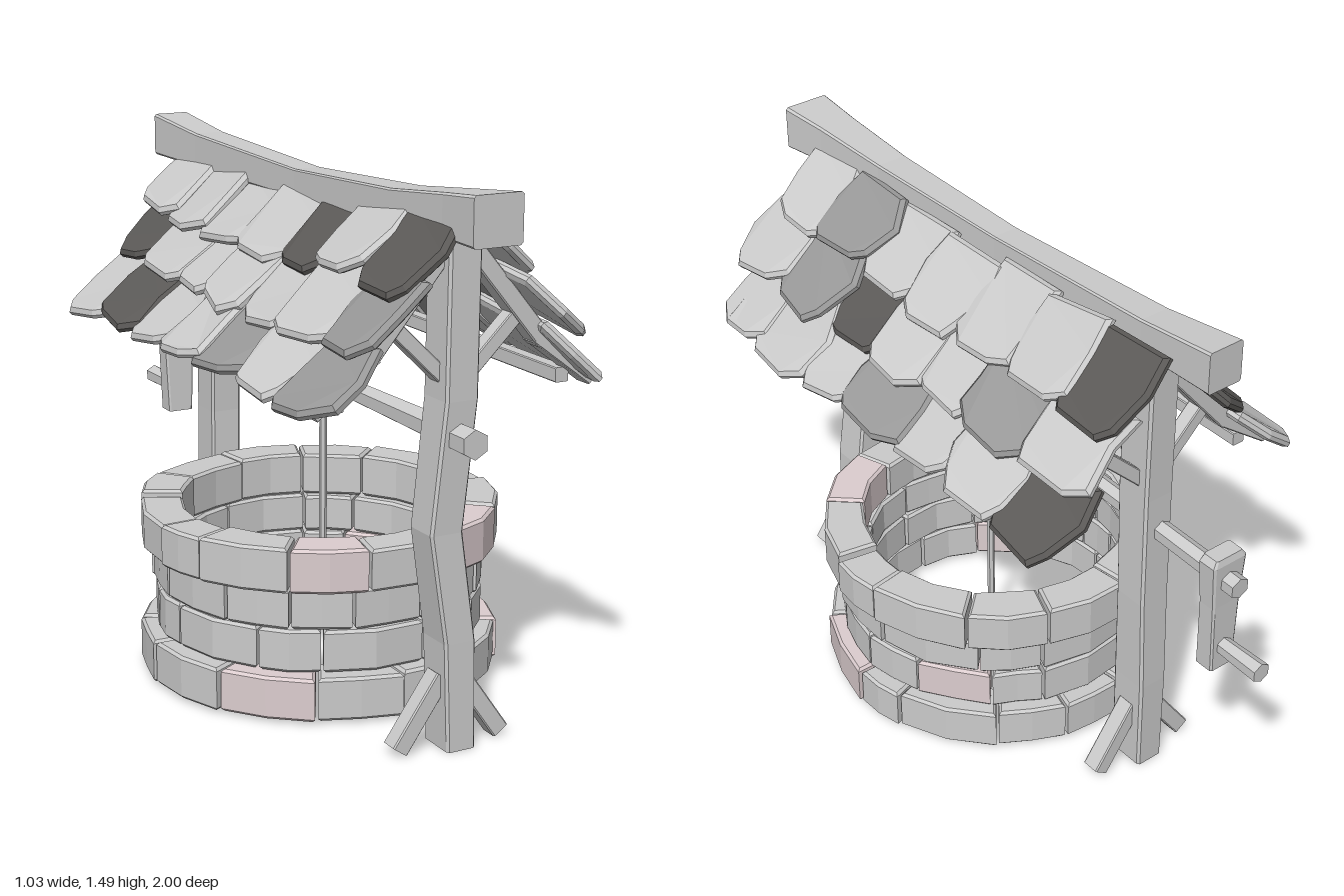
import * as THREE from 'three';

const mat = (color) => new THREE.MeshStandardMaterial({ color, flatShading: true });
const grey = mat(0xcccccc), pink = mat(0xdccdcf), mid = mat(0x999999), dark = mat(0x5c5a58);
const V = (x, y, z) => new THREE.Vector3(x, y, z);

// Small seeded generator; jit(a) gives a value in -a..a
let seed = 7;
const rnd = () => (seed = (seed * 16807) % 2147483647) / 2147483647;
const jit = (a) => (rnd() * 2 - 1) * a;

function add(parent, name, geometry, material = grey) {
  const mesh = new THREE.Mesh(geometry, material);
  mesh.name = name;
  parent.add(mesh);
  return mesh;
}

// Chamfered rectangular timber along y; stations are [t, centreX, centreZ, halfX, halfZ]
function timber(stations, chamfer = 0.14) {
  const n = stations.length - 1;
  const g = new THREE.CylinderGeometry(1, 1, 1, 8, n, false, Math.PI / 8);
  const p = g.attributes.position;
  const square = (c) => Math.sign(c) * (Math.abs(c) < 0.01 ? 0 : Math.abs(c) > 0.5 ? 1 : 1 - chamfer);
  for (let i = 0; i < p.count; i++) {
    const [t, cx, cz, hx, hz] = stations[Math.round((p.getY(i) + 0.5) * n)];
    p.setXYZ(i, cx + square(p.getX(i)) * hx, t, cz + square(p.getZ(i)) * hz);
  }
  g.computeVertexNormals();
  return g;
}

// Places a y-aligned mesh of the right length between two points
function span(mesh, a, b) {
  mesh.position.copy(a).add(b).multiplyScalar(0.5);
  mesh.quaternion.setFromUnitVectors(V(0, 1, 0), b.clone().sub(a).normalize());
  return mesh;
}
function strut(parent, name, a, b, w, d) {
  const h = a.distanceTo(b) / 2;
  return span(add(parent, name, timber([[-h, 0, 0, w / 2, d / 2], [h, 0, 0, w / 2, d / 2]])), a, b);
}
function rod(parent, name, a, b, ra, rb, sides = 6) {
  return span(add(parent, name, new THREE.CylinderGeometry(rb, ra, a.distanceTo(b), sides)), a, b);
}

// One curved wall stone between two angles
function stone(a0, a1, rIn, rOut, height) {
  const pts = [], steps = 2, gap = 0.008;
  const at = (r, k) => {
    const a = a0 + gap + ((a1 - a0 - gap * 2) * k) / steps;
    return new THREE.Vector2(Math.cos(a) * r, Math.sin(a) * r);
  };
  for (let k = 0; k <= steps; k++) pts.push(at(rOut + jit(0.007), k));
  for (let k = steps; k >= 0; k--) pts.push(at(rIn + jit(0.006), k));
  const bevel = 0.008;
  const g = new THREE.ExtrudeGeometry(new THREE.Shape(pts), {
    depth: height - bevel * 2, bevelSize: bevel, bevelOffset: -bevel, bevelThickness: bevel, bevelSegments: 1,
  });
  return g.translate(0, 0, bevel).rotateX(-Math.PI / 2);
}

function wellWall() {
  const wall = new THREE.Group();
  wall.name = 'stoneWall';
  wall.position.z = 0.115;
  const tiers = [[0.01, 0.123, 0.395, 0.512], [0.136, 0.12, 0.39, 0.475], [0.259, 0.112, 0.39, 0.475], [0.373, 0.121, 0.395, 0.512]];
  tiers.forEach(([y, h, rIn, rOut], t) => {
    const widths = Array.from({ length: 13 }, () => 0.7 + rnd() * 0.7);
    const total = widths.reduce((s, w) => s + w, 0);
    let a = t * 0.4;
    widths.forEach((w) => {
      const next = a + (w / total) * Math.PI * 2;
      const height = h + (t === 3 ? jit(0.01) : jit(0.003));
      add(wall, 'stone', stone(a, next, rIn, rOut, height), rnd() < 0.12 ? pink : grey).position.y = y;
      a = next;
    });
  });
  return wall;
}

// Irregular slate, slightly domed: x runs down the slope, y across, z outward
function slate(len, w) {
  const outline = [[0, -0.45], [0.45, -0.52], [0.85, -0.48], [1, -0.3], [1.01, 0.25], [0.85, 0.48], [0.4, 0.52], [0, 0.45]];
  const pts = outline.map(([x, y]) => new THREE.Vector2(x * len + jit(0.016), y * w + jit(0.02)));
  const g = new THREE.ExtrudeGeometry(new THREE.Shape(pts), {
    depth: 0.012, bevelSize: 0.012, bevelOffset: -0.01, bevelThickness: 0.01, bevelSegments: 1,
  });
  const p = g.attributes.position;
  for (let i = 0; i < p.count; i++) {
    p.setZ(i, p.getZ(i) - 0.012 * ((2 * p.getY(i)) / w) ** 2);
  }
  return g;
}

function roofSide(s) {
  const side = new THREE.Group();
  side.name = s > 0 ? 'leftRoofSlates' : 'rightRoofSlates';
  // Each row: upper edge x, y and lower edge x, y; the left eave is a little shorter
  const eave = s > 0 ? 0.425 : 0.455;
  const rows = [[0.02, 1.4, 0.205, 1.215], [0.135, 1.26, 0.315, 1.085], [0.25, 1.115, eave, 0.94]];
  // Slate shades per row, from back to front: d dark, m mid, g light
  const shades = s > 0 ? ['dggggmg', 'gmggdmg', 'dggmggg'] : ['ggggdgd', 'dgggggm', 'gdggmgm'];
  rows.forEach(([x0, y0, x1, y1], r) => {
    const d = V(s * (x1 - x0), y1 - y0, 0), len = d.length();
    d.normalize();
    const n = V(-s * d.y, s * d.x, 0);
    const basis = new THREE.Matrix4().makeBasis(d, n.clone().cross(d), n);
    [...shades[r]].forEach((shade, i) => {
      const z = -0.515 + i * 0.217 + (r === 1 ? 0.03 : 0) + jit(0.015);
      const material = { d: dark, m: mid, g: grey }[shade];
      const m = add(side, 'slate', slate(len + jit(0.02), 0.255 + jit(0.025)), material);
      const sag = (0.035 * ((z - 0.14) / 0.75) ** 2 - 0.012) * (1 - r / 2);
      m.position.set(s * x0, y0 + sag, z).addScaledVector(n, 0.01 * (i % 2) + 0.002);
      m.quaternion.setFromRotationMatrix(basis);
      m.rotateY(-0.05 + jit(0.05)).rotateX(jit(0.08)).rotateZ(jit(0.1));
    });
  });
  return side;
}

// Post with its foot braces, rafters and upper braces; bend scales the post's sideways curve
function postFrame(name, z, bend) {
  const frame = new THREE.Group();
  frame.name = name;
  frame.position.z = z;
  add(frame, 'post', timber([
    [0, 0.012, 0, 0.043, 0.06], [0.3, 0.005, -0.003, 0.046, 0.06], [0.6, -0.038, -0.004, 0.048, 0.055],
    [0.95, -0.006, 0.004, 0.048, 0.058], [1.38, 0, 0, 0.048, 0.058],
  ].map(([t, x, ...rest]) => [t, x * bend, ...rest])));
  for (const s of [-1, 1]) {
    strut(frame, 'footBrace', V(s * 0.155, 0.015, 0), V(s * 0.025, 0.2, 0), 0.05, 0.055);
    strut(frame, 'upperRafter', V(s * 0.03, 1.345, 0), V(s * 0.26, 1.07, 0), 0.05, 0.06);
    strut(frame, 'lowerRafter', V(s * 0.24, 1.085, 0), V(s * 0.415, 0.955, 0), 0.045, 0.06);
    strut(frame, 'upperBrace', V(s * 0.03, 1.0, 0), V(s * 0.18, 1.145, 0), 0.04, 0.045);
  }
  return frame;
}

function windlass() {
  const g = new THREE.Group();
  g.name = 'windlass';
  g.position.x = -0.01;
  rod(g, 'frontAxle', V(0, 0.853, 0.95), V(0, 0.853, 0.1), 0.04, 0.026);
  rod(g, 'backAxle', V(0, 0.855, 0.1), V(0, 0.828, -0.9), 0.026, 0.032);
  rod(g, 'drum', V(0, 0.853, 0.185), V(0, 0.853, -0.145), 0.042, 0.042, 8);
  for (let i = 0; i < 5; i++) {
    const z = 0.145 - i * 0.063;
    rod(g, 'ropeCoil', V(0.004, 0.853, z + 0.015), V(-0.004, 0.853, z - 0.015), 0.057, 0.057, 10);
  }
  rod(g, 'rope', V(0.01, 0.85, 0.14), V(0.01, 0.1, 0.14), 0.011, 0.011);
  add(g, 'crankArm', timber([
    [0.53, 0, -0.823, 0.04, 0.031], [0.75, 0, -0.828, 0.048, 0.028], [0.89, 0, -0.83, 0.058, 0.031], [0.91, 0, -0.83, 0.045, 0.026],
  ]));
  rod(g, 'crankHandle', V(0, 0.605, -0.8), V(0, 0.605, -1), 0.024, 0.03);
  return g;
}

export function createModel() {
  seed = 7;
  const model = new THREE.Group();
  model.name = 'well';
  model.add(wellWall(), postFrame('frontFrame', 0.82, 1), postFrame('backFrame', -0.54, -0.1));
  model.add(roofSide(1), roofSide(-1), windlass());

  // Sagging ridge beam, widest at its ends
  const ridge = [
    [-0.76, -0.045, 1.43, 0.056, 0.062], [-0.5, -0.04, 1.412, 0.048, 0.05], [0.1, -0.03, 1.395, 0.042, 0.04],
    [0.6, -0.012, 1.405, 0.05, 0.047], [0.85, 0.002, 1.42, 0.06, 0.057], [1, 0.01, 1.425, 0.072, 0.066],
  ].map(([t, x, y, hx, hy]) => [t, x, -y, hx, hy]);
  add(model, 'ridgeBeam', timber(ridge, 0.1).rotateX(Math.PI / 2));

  // Eave purlins joining the rafters
  for (const s of [-1, 1]) strut(model, 'purlin', V(s * 0.335, 0.965, 0.82), V(s * 0.335, 0.965, -0.54), 0.04, 0.04);
  return model;
}
